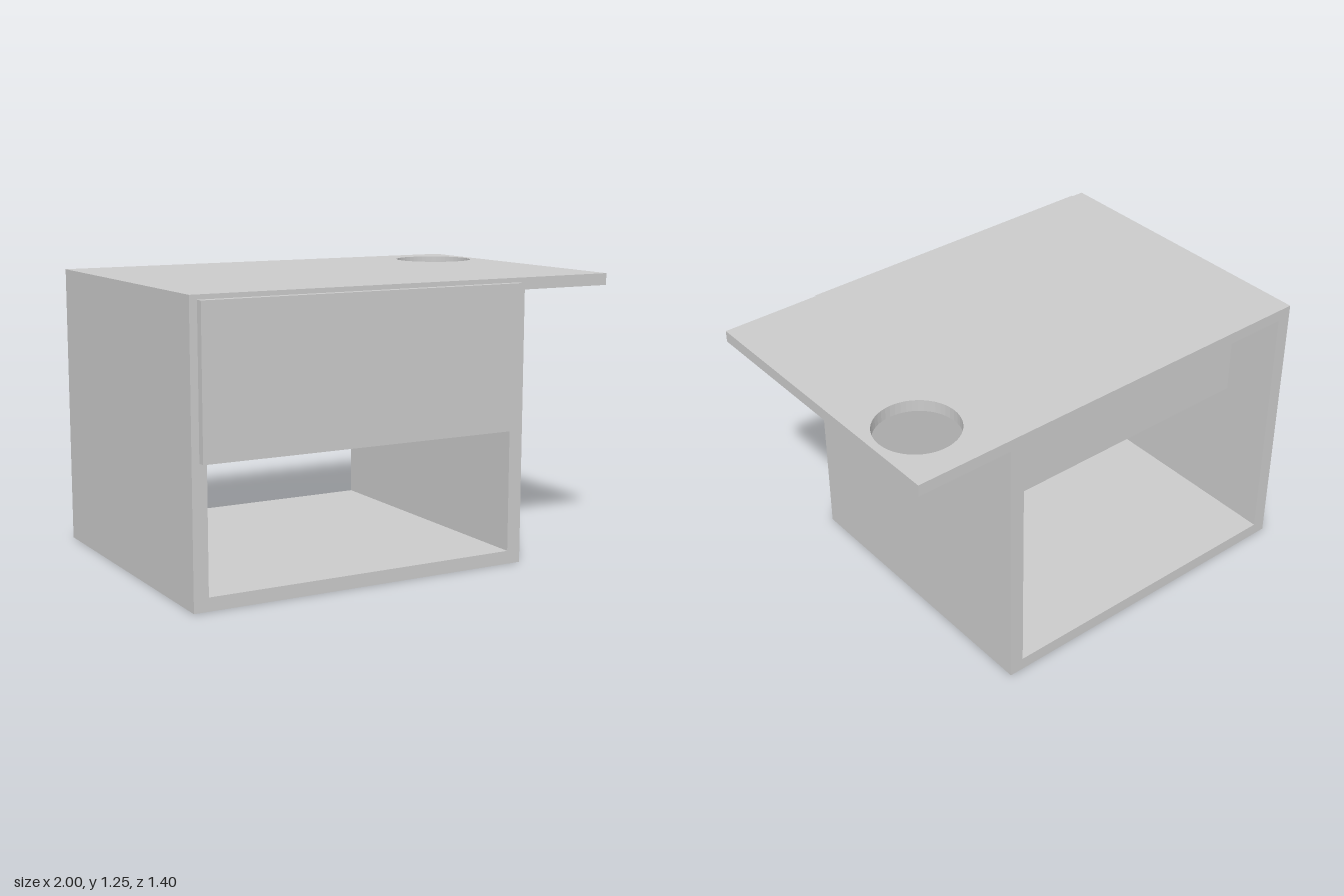
import * as THREE from 'three';

const grey = new THREE.MeshStandardMaterial({ color: 0xcccccc });

const BACK = -0.7, FRONT = 0.665;      // depth of the carcass
const DEPTH = FRONT - BACK;
const TOP = 1.25, UNDER = 1.198;       // worktop faces

function add(parent, name, geometry) {
  const mesh = new THREE.Mesh(geometry, grey);
  mesh.name = name;
  parent.add(mesh);
  return mesh;
}

// Box given by its minimum and maximum corners
function boxBetween(parent, name, [x0, y0, z0], [x1, y1, z1]) {
  const mesh = add(parent, name, new THREE.BoxGeometry(x1 - x0, y1 - y0, z1 - z0));
  mesh.position.set((x0 + x1) / 2, (y0 + y1) / 2, (z0 + z1) / 2);
  return mesh;
}

export function createModel() {
  const model = new THREE.Group();
  model.name = 'sideTable';

  // Worktop with a round cup hole in the overhang (shape y becomes -z)
  const top = new THREE.Shape([
    new THREE.Vector2(-1, -FRONT), new THREE.Vector2(1, -FRONT),
    new THREE.Vector2(1, -BACK), new THREE.Vector2(-1, -BACK),
  ]);
  const hole = new THREE.Path();
  hole.absarc(0.785, 0.4, 0.18, 0, Math.PI * 2, true);
  top.holes.push(hole);
  const topGeometry = new THREE.ExtrudeGeometry(top, {
    depth: TOP - UNDER, bevelEnabled: false, curveSegments: 24,
  });
  topGeometry.rotateX(-Math.PI / 2);
  add(model, 'worktop', topGeometry).position.y = UNDER;

  // Carcass: floor and two side walls, open at front and back
  const outline = [
    [-1, 0], [0.56, 0], [0.56, UNDER], [0.495, UNDER],
    [0.495, 0.058], [-0.935, 0.058], [-0.935, UNDER], [-1, UNDER],
  ].map(([x, y]) => new THREE.Vector2(x, y));
  const carcass = new THREE.ExtrudeGeometry(new THREE.Shape(outline), {
    depth: DEPTH, bevelEnabled: false,
  });
  add(model, 'carcass', carcass).position.z = BACK;

  // Drawer: overlapping front panel and an open-topped tray behind it
  const drawer = new THREE.Group();
  drawer.name = 'drawer';
  model.add(drawer);
  const L = -0.932, R = 0.492, B = 0.715, H = 1.115, Z = -0.45, T = 0.035;
  boxBetween(drawer, 'drawerFront', [-0.967, 0.597, FRONT], [0.527, 1.23, 0.7]);
  boxBetween(drawer, 'drawerBottom', [L, B, Z], [R, B + T, FRONT]);
  boxBetween(drawer, 'drawerBack', [L, B + T, Z], [R, H, Z + T]);
  boxBetween(drawer, 'drawerRightSide', [L, B + T, Z + T], [L + T, H, FRONT]);
  boxBetween(drawer, 'drawerLeftSide', [R - T, B + T, Z + T], [R, H, FRONT]);

  return model;
}
